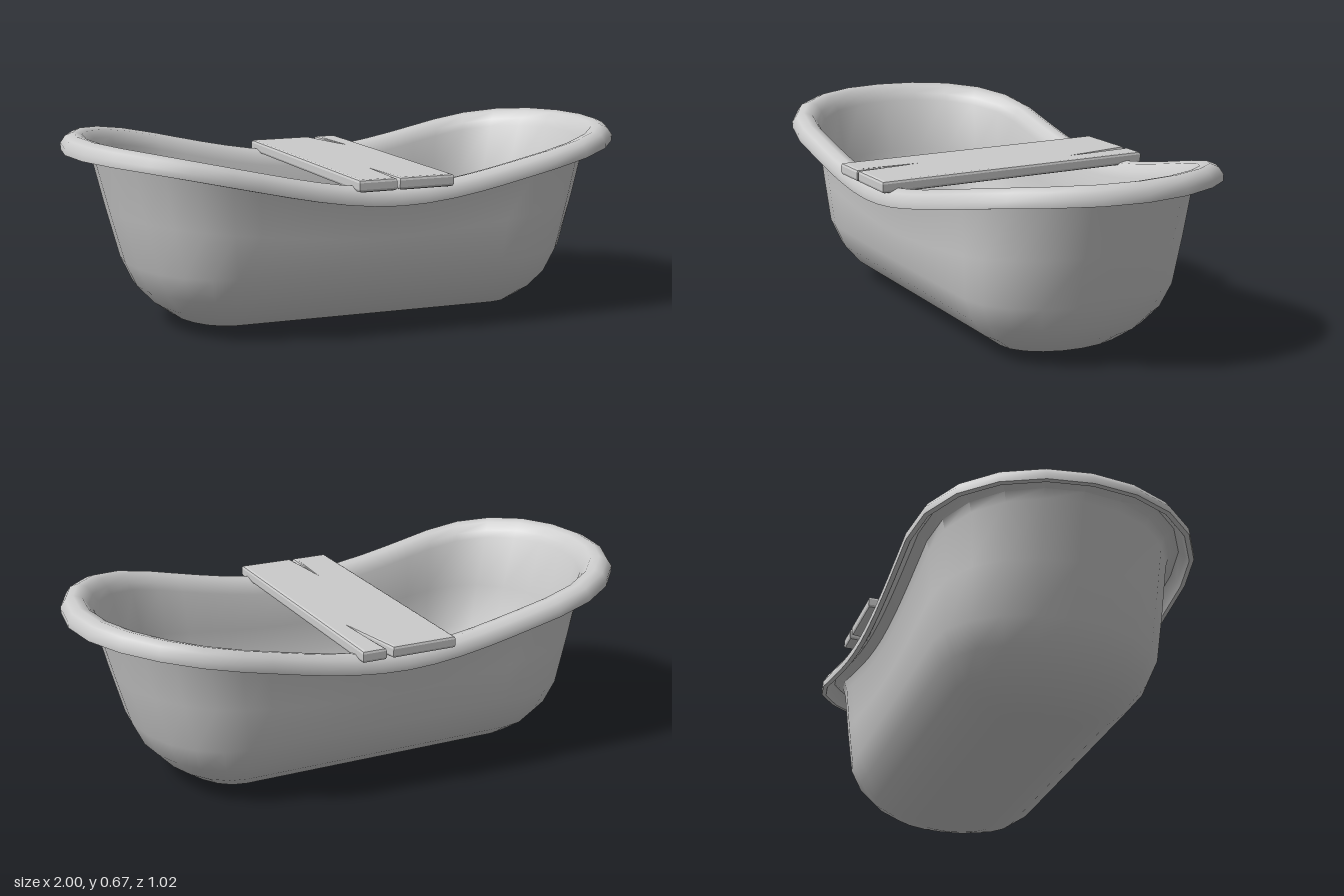
import * as THREE from 'three';
import { toCreasedNormals } from 'three/addons/utils/BufferGeometryUtils.js';

const material = new THREE.MeshStandardMaterial({ color: 0xcccccc, side: THREE.DoubleSide });

const ARC = 10;      // segments around each rounded end
const STRAIGHT = 12; // segments along each long side

// Oval outline with straight sides: half length a, half width b
function ovalRing([a, b, y]) {
  const s = Math.min(a, 0.46 + 0.12 * (a - 0.56) / 0.44);
  const points = [];
  const add = (x, z) => {
    const t = Math.min(1, Math.abs(x));
    const weight = THREE.MathUtils.clamp((y - 0.2) / 0.38, 0, 1);
    const dip = 0.15 * (1 - t * t * (3 - 2 * t)); // rim sags towards the middle
    points.push(new THREE.Vector3(x, y - dip * weight, z));
  };
  for (const side of [1, -1]) {
    for (let i = 0; i <= ARC; i++) {
      const angle = -Math.PI / 2 + Math.PI * i / ARC;
      add(side * (s + (a - s) * Math.cos(angle)), side * b * Math.sin(angle));
    }
    for (let i = 1; i < STRAIGHT; i++) add(side * s * (1 - 2 * i / STRAIGHT), side * b);
  }
  return points;
}

// Skin a list of rings with the same number of points
function loft(rings) {
  const positions = [], index = [], n = rings[0].length;
  rings.forEach(ring => ring.forEach(p => positions.push(p.x, p.y, p.z)));
  for (let i = 0; i < rings.length - 1; i++) {
    for (let j = 0; j < n; j++) {
      const a = i * n + j, d = i * n + (j + 1) % n;
      index.push(a, a + n, d, d, a + n, d + n);
    }
  }
  const geometry = new THREE.BufferGeometry();
  geometry.setAttribute('position', new THREE.Float32BufferAttribute(positions, 3));
  geometry.setIndex(index);
  return toCreasedNormals(geometry, 0.8);
}

function makeTub() {
  // half length, half width, height: from the base up the outside
  const wall = [
    [0.46, 0, 0], [0.56, 0.14, 0], [0.63, 0.225, 0.023], [0.7, 0.293, 0.072],
    [0.76, 0.345, 0.135], [0.8, 0.38, 0.22], [0.85, 0.394, 0.4], [0.9, 0.406, 0.59],
  ];
  // rolled lip, from the hollow underside over the crest
  const lip = [
    [0.91, 0.415, 0.622], [0.945, 0.447, 0.638], [0.97, 0.466, 0.615], [0.983, 0.477, 0.594],
    [0.998, 0.492, 0.596], [0.998, 0.493, 0.618], [0.982, 0.478, 0.643],
    [0.955, 0.452, 0.656], [0.925, 0.422, 0.65], [0.906, 0.405, 0.625],
  ];
  const inside = wall.map(([a, b, y]) =>
    b === 0 ? [a, b, y + 0.012] : [a - 0.012, b - 0.012, y + 0.012]).reverse();
  const tub = new THREE.Mesh(loft([...wall, ...lip, ...inside].map(ovalRing)), material);
  tub.name = 'tub';
  tub.rotation.set(0, 0.018, -0.0075);
  tub.position.y = 0.005;
  return tub;
}

function makePlank() {
  // board outline with a split in each end
  const w = 0.17, l = 0.508;
  const shape = new THREE.Shape([
    [-w, -l], [-0.036, -l], [-0.036, -0.29], [-0.026, -l], [w, -l],
    [w, l], [0.085, l], [0.106, 0.26], [0.06, l], [-w, l],
  ].map(([x, y]) => new THREE.Vector2(x, y)));
  const geometry = new THREE.ExtrudeGeometry(shape, {
    depth: 0.022, bevelThickness: 0.01, bevelSize: 0.01, bevelOffset: -0.01, bevelSegments: 2,
  });
  geometry.rotateX(-Math.PI / 2);
  const plank = new THREE.Mesh(geometry, material);
  plank.name = 'plank';
  plank.position.set(0.013, 0.517, 0);
  plank.rotation.y = 0.025;
  return plank;
}

export function createModel() {
  const group = new THREE.Group();
  group.name = 'bathtub';
  group.add(makeTub(), makePlank());
  return group;
}
